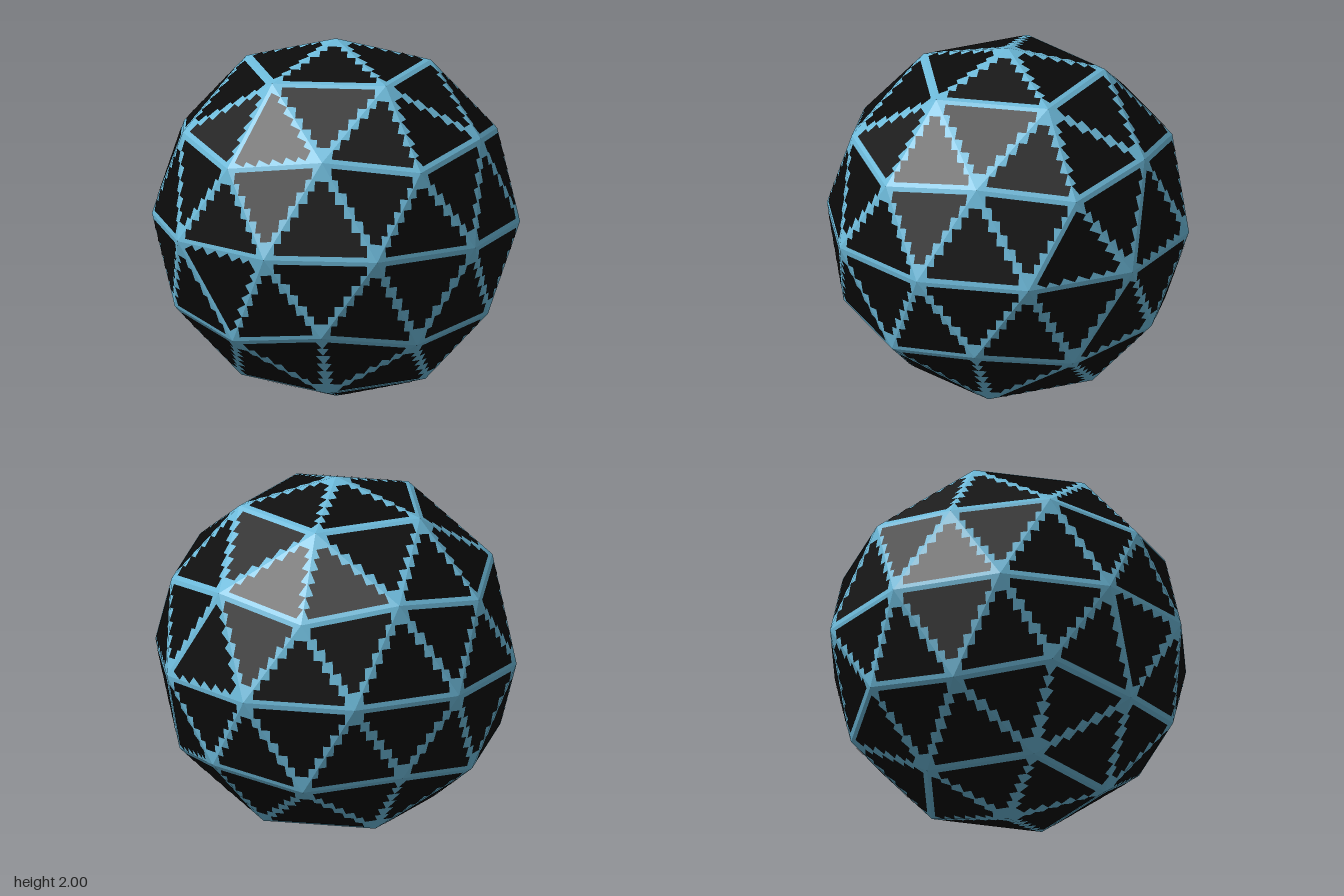
import * as THREE from 'three';
import { mergeGeometries } from 'three/addons/utils/BufferGeometryUtils.js';

// Point on the unit sphere at a height and an angle in degrees (0 = +x, 90 = +z)
function ringPoint(height, degrees) {
  const r = Math.sqrt(1 - height * height), a = THREE.MathUtils.degToRad(degrees);
  return new THREE.Vector3(r * Math.cos(a), height, r * Math.sin(a));
}

// The 80 faces of a subdivided icosahedron, each as [apex, baseStart, baseEnd]
function buildFaces() {
  const T = new THREE.Vector3(0, 1, 0), B = new THREE.Vector3(0, -1, 0);
  const faces = [];
  for (let k = 0; k < 5; k++) {
    const d = 72 * k;
    const a0 = ringPoint(0.8507, d), a1 = ringPoint(0.8507, d + 72);
    const U0 = ringPoint(0.4472, d), U1 = ringPoint(0.4472, d + 72);
    const u = ringPoint(0.5257, d + 36);
    const e0 = ringPoint(0, d + 18), e1 = ringPoint(0, d + 54), e2 = ringPoint(0, d + 90);
    const L0 = ringPoint(-0.4472, d + 36), L1 = ringPoint(-0.4472, d + 108);
    const l = ringPoint(-0.5257, d + 72);
    const b0 = ringPoint(-0.8507, d + 36), b1 = ringPoint(-0.8507, d + 108);
    const turned = k === 4; // one sector has its marks turned to another edge
    faces.push(
      // upper cap
      [T, a0, a1], [u, a0, a1], [a0, U0, u], k === 1 ? [u, a1, U1] : [a1, u, U1],
      // downward triangles of the middle band
      [e0, U0, u], [e1, u, U1], turned ? [e0, u, e1] : [u, e0, e1], [L0, e0, e1],
      // upward triangles of the middle band
      turned ? [e1, U1, e2] : [U1, e1, e2], k === 1 ? [e1, l, e2] : [l, e1, e2],
      turned ? [L0, l, e1] : [e1, L0, l], [e2, l, L1],
      // lower cap
      [B, b0, b1], turned ? [b0, l, b1] : [l, b0, b1], [b0, L0, l], [b1, l, L1]
    );
  }
  // Put every face in outward order
  return faces.map(([p, q, r]) => {
    const n = q.clone().sub(p).cross(r.clone().sub(p));
    return n.dot(p) > 0 ? [p, q, r] : [p, r, q];
  });
}

// Stepped triangle: x runs along the base (-0.5..0.5), y from base to apex (0..1)
function steppedShape() {
  const levels = [0.05, 0.17, 0.3, 0.44, 0.58, 0.71, 0.81];
  const halves = [0.41, 0.35, 0.27, 0.2, 0.12, 0.06];
  const right = [];
  halves.forEach((h, i) => right.push([h, levels[i]], [h, levels[i + 1]]));
  const left = right.map(([x, y]) => [-x, y]).reverse();
  return new THREE.Shape([...right, ...left].map(([x, y]) => new THREE.Vector2(x, y)));
}

// Lay the stepped shape on one face, just above its surface
function markOnFace([apex, b0, b1], shape) {
  const g = new THREE.ShapeGeometry(shape);
  const mid = b0.clone().add(b1).multiplyScalar(0.5);
  const along = b1.clone().sub(b0), up = apex.clone().sub(mid);
  const lift = along.clone().cross(up).normalize().multiplyScalar(0.003);
  const pos = g.attributes.position;
  for (let i = 0; i < pos.count; i++) {
    const p = mid.clone().add(lift)
      .addScaledVector(along, pos.getX(i)).addScaledVector(up, pos.getY(i));
    pos.setXYZ(i, p.x, p.y, p.z);
  }
  g.computeVertexNormals();
  return g;
}

export function createModel() {
  const blue = new THREE.MeshStandardMaterial({ color: 0x6cb9d9 });
  blue.name = 'sky blue';
  const black = new THREE.MeshStandardMaterial({ color: 0x0a0a0a });
  black.name = 'black';

  const faces = buildFaces();
  const model = new THREE.Group();
  model.name = 'facetedBall';

  // Faceted blue ball
  const ballGeometry = new THREE.BufferGeometry().setFromPoints(faces.flat());
  ballGeometry.computeVertexNormals();
  const ball = new THREE.Mesh(ballGeometry, blue);
  ball.name = 'ball';

  // One black stepped mark on each facet
  const shape = steppedShape();
  const marks = new THREE.Mesh(mergeGeometries(faces.map((f) => markOnFace(f, shape))), black);
  marks.name = 'facetMarks';

  ball.position.y = marks.position.y = 1;
  model.add(ball, marks);
  return model;
}
